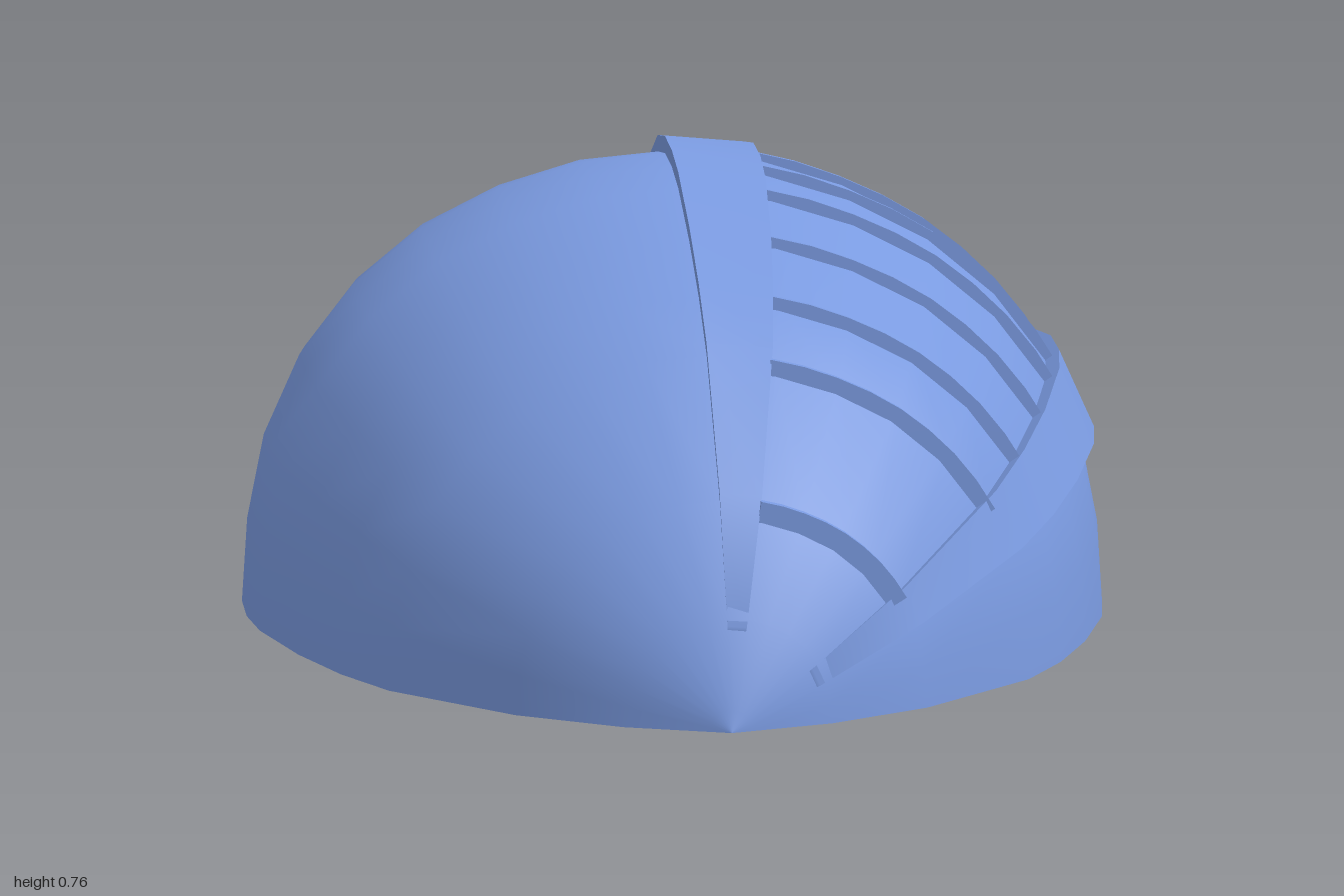
import * as THREE from 'three';
import { toCreasedNormals } from 'three/addons/utils/BufferGeometryUtils.js';

const material = new THREE.MeshStandardMaterial({ color: 0x7a9ae0, side: THREE.DoubleSide });

// Half-width of the dome along z, and its swelling by angle around z
const PROFILE = [[-1, 0], [-0.97, 0.15], [-0.91, 0.26], [-0.8, 0.41], [-0.67, 0.515], [-0.5, 0.605],
  [-0.34, 0.66], [-0.18, 0.7], [-0.03, 0.71], [0.1, 0.7], [0.22, 0.677], [0.41, 0.615], [0.56, 0.55],
  [0.68, 0.48], [0.86, 0.3], [0.95, 0.15], [0.99, 0.03], [1, 0]];
const SWELL = [[0, 1], [11, 1.004], [22.5, 1.022], [34, 1.035], [45, 1.04], [56, 1.04], [67, 1.035], [90, 1.035]];

function lookup(table, t) {
  for (let i = 1; i < table.length; i++) {
    const [t0, v0] = table[i - 1], [t1, v1] = table[i];
    if (t <= t1) return v0 + (v1 - v0) * (t - t0) / (t1 - t0);
  }
  return table[table.length - 1][1];
}

const radius = (deg, z) => lookup(PROFILE, z) * lookup(SWELL, Math.min(deg, 180 - deg));

function polar(deg, r, z) {
  const a = THREE.MathUtils.degToRad(deg);
  return [r * Math.cos(a), r * Math.sin(a), z];
}

// Skins a list of cross-sections; closed sections get end caps
function skin(sections, closed) {
  const n = sections[0].length, index = [];
  const last = (sections.length - 1) * n;
  for (let i = 0; i < sections.length - 1; i++) {
    for (let j = 0; j < (closed ? n : n - 1); j++) {
      const a = i * n + j, b = i * n + (j + 1) % n;
      index.push(a, b, a + n, b, b + n, a + n);
    }
  }
  if (closed) {
    for (let j = 1; j < n - 1; j++) index.push(0, j + 1, j, last, last + j, last + j + 1);
  }
  const geometry = new THREE.BufferGeometry();
  geometry.setAttribute('position', new THREE.Float32BufferAttribute(sections.flat(2), 3));
  geometry.setIndex(index);
  geometry.computeVertexNormals();
  return closed ? toCreasedNormals(geometry, 0.6) : geometry;
}

// Open half-dome shell
function shellGeometry() {
  return skin(PROFILE.map(([z]) =>
    Array.from({ length: 17 }, (_, j) => polar(j * 11.25, radius(j * 11.25, z), z))), false);
}

// Raised band running from end to end between two angles
function bandGeometry(from, to) {
  const END = 0.955;
  const stations = [-END, ...PROFILE.map(p => p[0]).filter(z => Math.abs(z) < END - 0.01), END];
  return skin(stations.map(z => {
    const r0 = radius(from, z), r1 = radius(to, z);
    return [polar(from, r0 * 1.037, z), polar(to, r1 * 1.037, z),
      polar(to, r1 * 0.993, z), polar(from, r0 * 0.993, z)];
  }), true);
}

// Thin curved rib crossing between the bands
function ribGeometry(z) {
  const sections = [], half = 0.01;
  for (let j = 0; j <= 8; j++) {
    const deg = 32 + j * 6;
    const outer = radius(deg, z) + 0.013, inner = outer - 0.045;
    sections.push([polar(deg, outer, z + half), polar(deg, outer, z - half),
      polar(deg, inner, z - half), polar(deg, inner, z + half)]);
  }
  return skin(sections, true);
}

export function createModel() {
  const model = new THREE.Group();
  model.name = 'ribbedDome';
  const add = (name, geometry, parent = model) => {
    const mesh = new THREE.Mesh(geometry, material);
    mesh.name = name;
    parent.add(mesh);
  };

  add('shell', shellGeometry());
  add('topBand', bandGeometry(79.8, 90.8));
  add('sideBand', bandGeometry(23.2, 34));

  const ribs = new THREE.Group();
  ribs.name = 'ribs';
  model.add(ribs);
  [-0.9, -0.8, -0.67, -0.5, -0.33, -0.19, -0.05, 0.1, 0.23, 0.4, 0.565, 0.69, 0.865]
    .forEach((z, i) => add(`rib${i + 1}`, ribGeometry(z), ribs));
  return model;
}
